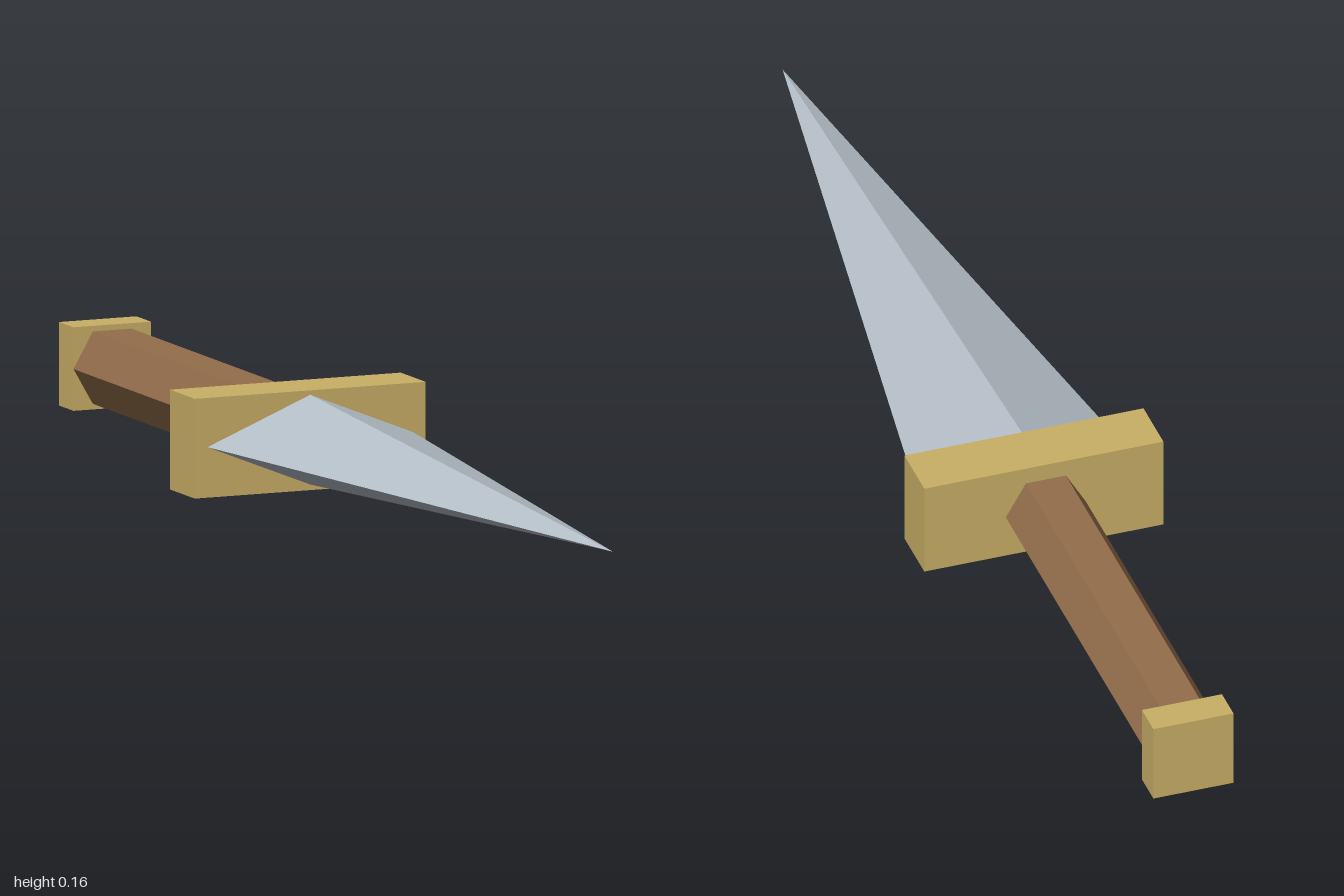
import * as THREE from 'three';

const material = (name, color) => {
  const m = new THREE.MeshStandardMaterial({ color, flatShading: true });
  m.name = name;
  return m;
};

export function createModel() {
  const group = new THREE.Group();
  group.name = 'dagger';
  const steel = material('steel', 0xb5bfc7);
  const brass = material('brass', 0xc9ae66);
  const wood = material('wood', 0x936d4b);
  const axisY = 0.081; // height of the long axis

  // Places a part centred on the long axis, spanning z0 to z1
  const add = (name, geometry, mat, z0, z1, y = axisY) => {
    const mesh = new THREE.Mesh(geometry, mat);
    mesh.name = name;
    mesh.position.set(0, y, (z0 + z1) / 2);
    group.add(mesh);
  };

  // Four-sided tapering blade with a diamond section
  const blade = new THREE.ConeGeometry(1, 1.175, 4).rotateX(Math.PI / 2).scale(0.178, 0.072, 1);
  add('blade', blade, steel, -0.175, 1);

  // Crossguard
  add('guard', new THREE.BoxGeometry(0.4, 0.16, 0.097), brass, -0.272, -0.175, 0.08);

  // Hexagonal grip with flats on top and bottom, just clear of the guard
  const grip = new THREE.CylinderGeometry(0.067, 0.067, 0.662, 6).rotateY(Math.PI / 6).rotateX(Math.PI / 2);
  add('grip', grip, wood, -0.944, -0.282);

  // Square pommel
  add('pommel', new THREE.BoxGeometry(0.134, 0.134, 0.056), brass, -1, -0.944);

  return group;
}
